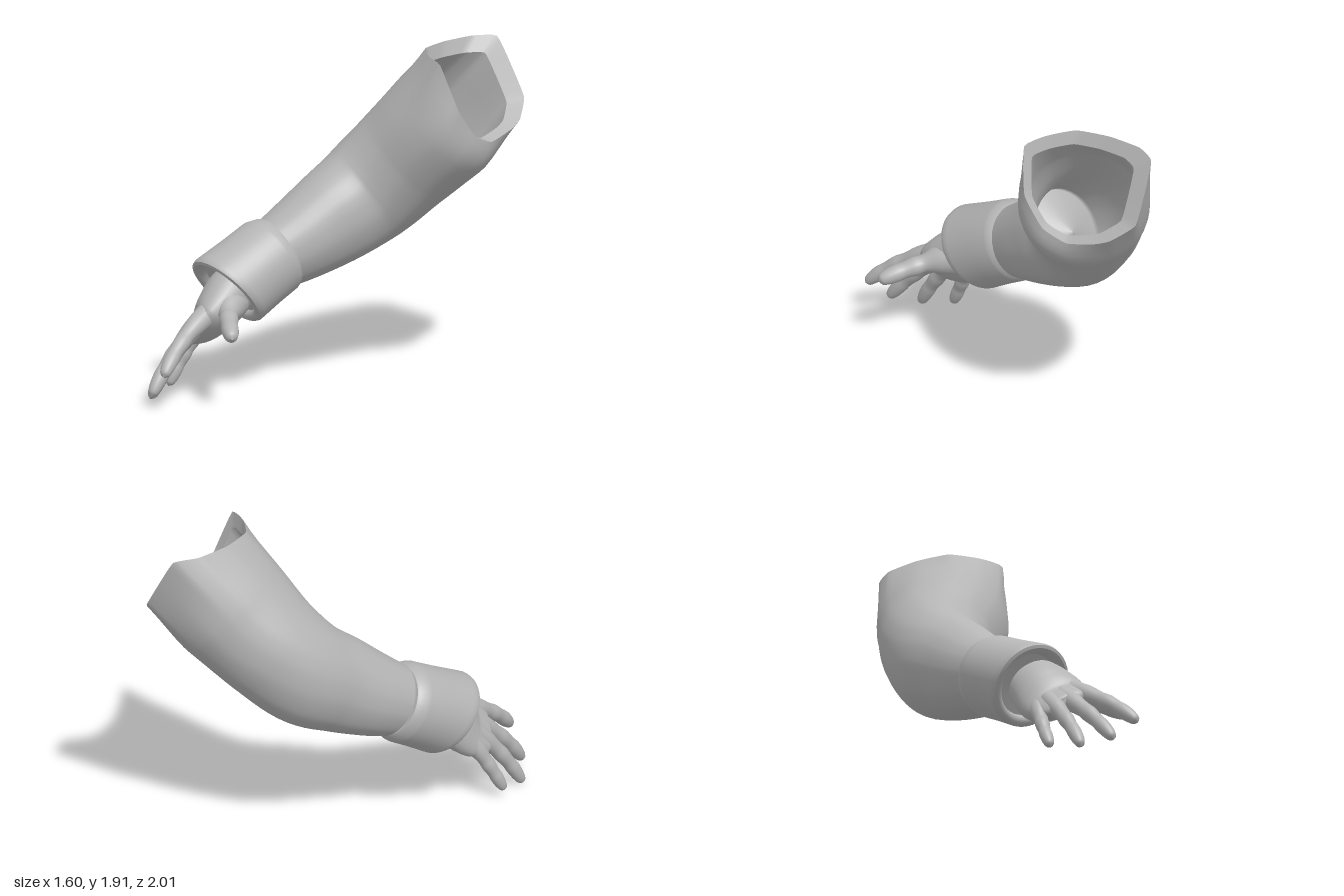
import * as THREE from 'three';
import { toCreasedNormals } from 'three/addons/utils/BufferGeometryUtils.js';

const V = (x, y, z) => new THREE.Vector3(x, y, z);
const UP = V(0, 1, 0);

// Smooth elliptical rings along a path; stations are [x, y, z, sideRadius, hintRadius]
function rings(stations, steps, angles, hint = UP, scale = 1) {
  const curve = new THREE.CatmullRomCurve3(stations.map(s => V(s[0], s[1], s[2])));
  const radii = new THREE.CatmullRomCurve3(
    stations.map((s, i) => V(s[3], s[4], i * 0.1)), false, 'catmullrom', 0.5);
  const rows = [];
  for (let i = 0; i <= steps; i++) {
    const k = i / steps, c = curve.getPoint(k), r = radii.getPoint(k), t = curve.getTangent(k);
    const u = t.clone().cross(hint).normalize(), v = u.clone().cross(t);
    rows.push(angles.map(a => c.clone()
      .addScaledVector(u, Math.cos(a) * r.x * scale)
      .addScaledVector(v, Math.sin(a) * r.y * scale)));
  }
  return rows;
}

// Skin closed rings into one smooth surface
function skin(rows) {
  const n = rows[0].length, index = [];
  for (let i = 0; i < rows.length - 1; i++) {
    for (let j = 0; j < n; j++) {
      const a = i * n + j, b = i * n + (j + 1) % n;
      index.push(a, a + n, b, b, a + n, b + n);
    }
  }
  const geo = new THREE.BufferGeometry().setFromPoints(rows.flat());
  geo.setIndex(index);
  geo.computeVertexNormals();
  return geo;
}

const circle = n => Array.from({ length: n }, (_, i) => (i / n) * Math.PI * 2);

export function createModel() {
  const group = new THREE.Group();
  const grey = new THREE.MeshStandardMaterial({ color: 0xb4b4b4 });
  grey.name = 'grey';
  const greyInside = grey.clone();
  greyInside.name = 'grey lining';
  greyInside.side = THREE.DoubleSide;
  const add = (name, geo, mat = grey, parent = group) => {
    const mesh = new THREE.Mesh(geo, mat);
    mesh.name = name;
    parent.add(mesh);
  };

  // Slanted sleeve opening
  const rimCurve = new THREE.CatmullRomCurve3([
    V(0.36, 1.91, -0.5), V(0.45, 1.9, -0.35), V(0.57, 1.88, -0.25), V(0.67, 1.62, -0.28),
    V(0.72, 1.45, -0.4), V(0.75, 1.39, -0.55), V(0.79, 1.43, -0.72), V(0.8, 1.47, -0.82),
    V(0.76, 1.57, -0.96), V(0.66, 1.75, -0.99), V(0.57, 1.9, -1.0), V(0.46, 1.91, -0.9),
    V(0.38, 1.91, -0.7),
  ], true, 'catmullrom', 0.2);
  const rim = Array.from({ length: 52 }, (_, i) => rimCurve.getPoint(i / 52));
  const rimCentre = V(0.58, 1.65, -0.62);
  const axis = V(-0.64, -0.76, 0.1).normalize();
  const side = axis.clone().cross(UP).normalize(), top = side.clone().cross(axis);
  const angles = rim.map(p => {
    const d = p.clone().sub(rimCentre);
    return Math.atan2(d.dot(top), d.dot(side));
  });

  // Sleeve, bent at the elbow and narrowing to the wrist
  const arm = [
    [0.41, 1.445, -0.56, 0.37, 0.35],
    [0.2, 1.235, -0.51, 0.32, 0.325],
    [0.03, 1.06, -0.415, 0.28, 0.31],
    [-0.1, 0.938, -0.255, 0.25, 0.285],
    [-0.24, 0.82, -0.085, 0.225, 0.242],
    [-0.36, 0.73, 0.07, 0.19, 0.2],
  ];
  const body = rings(arm, 30, angles);
  // curved run from the opening into the upper arm
  const flare = [0, 0.2, 0.4, 0.6, 0.8].map(k => rim.map((p, j) => {
    const a = body[0][j], lead = a.clone().multiplyScalar(3).addScaledVector(body[1][j], -2);
    return new THREE.QuadraticBezierCurve3(p, lead, a).getPoint(k);
  }));
  add('sleeve', skin([...flare, ...body]));

  // Lip folding into the opening, and the lining behind it
  const lip = rim.map(p => p.clone().lerp(V(0.45, 1.5, -0.45), 0.2));
  add('sleeveLip', skin([lip, rim]), greyInside);
  const inner = rings(arm, 30, angles, UP, 0.93).slice(0, 18);
  const middle = lip.map((p, j) => p.clone().lerp(inner[0][j], 0.5));
  const end = lip.map(() => V(0.0, 1.04, -0.38));
  add('sleeveLining', skin([lip, middle, ...inner, end]), greyInside);

  // Cuff: turned profile with a bevelled back edge and rolled front lip
  const cuffBase = V(-0.335, 0.765, 0.01);
  const cuffAxis = V(-0.17, -0.19, 0.32).normalize();
  const cuffUp = UP.clone().addScaledVector(cuffAxis, -cuffAxis.y).normalize();
  const profile = [[0.17, -0.018], [0.205, -0.018], [0.214, -0.01], [0.236, 0.045], [0.238, 0.06],
    [0.24, 0.2], [0.247, 0.36], [0.248, 0.385], [0.24, 0.405], [0.222, 0.412], [0.202, 0.405],
    [0.188, 0.39], [0.18, 0.365], [0.02, 0.35]];
  const cuff = new THREE.LatheGeometry(profile.map(p => new THREE.Vector2(...p)), 48);
  cuff.applyQuaternion(new THREE.Quaternion().setFromUnitVectors(UP, cuffAxis));
  const pos = cuff.attributes.position;
  for (let i = 0; i < pos.count; i++) {
    // slant the front end so the upper edge reaches further over the hand
    const p = V().fromBufferAttribute(pos, i);
    p.addScaledVector(cuffAxis, 0.22 * p.dot(cuffUp) * Math.max(0, p.dot(cuffAxis)) / 0.41);
    p.add(cuffBase);
    pos.setXYZ(i, p.x, p.y, p.z);
  }
  add('cuff', toCreasedNormals(cuff, 0.7));

  // Hand: flattened palm, then fingers with slight swelling at the joints
  const hand = new THREE.Group();
  hand.name = 'hand';
  group.add(hand);
  const back = V(-0.8, 0.6, 0.1).normalize();
  add('palm', skin(rings([
    [-0.38, 0.7, 0.22, 0.14, 0.12],
    [-0.46, 0.59, 0.345, 0.175, 0.14],
    [-0.505, 0.495, 0.43, 0.2, 0.13],
    [-0.55, 0.425, 0.495, 0.2, 0.1],
    [-0.595, 0.393, 0.555, 0.17, 0.065],
    [-0.625, 0.375, 0.6, 0.115, 0.04],
    [-0.635, 0.37, 0.61, 0.001, 0.001],
  ], 36, circle(32), back)), grey, hand);

  // root thickens the base of the digit
  const digit = (name, base, mid, tip, r, root) => {
    const path = new THREE.QuadraticBezierCurve3(V(...base), V(...mid), V(...tip));
    const shape = [[0, root], [0.2, (root + 1.05) / 2], [0.38, 0.95], [0.5, 1], [0.64, 0.86],
      [0.75, 0.9], [0.87, 0.8], [0.96, 0.55], [1, 0.02]];
    const stations = shape.map(([k, s]) => [...path.getPoint(k).toArray(), r * s, r * s]);
    add(name, skin(rings(stations, 32, circle(18), back)), grey, hand);
  };
  digit('indexFinger', [-0.5, 0.5, 0.57], [-0.575, 0.38, 0.83], [-0.575, 0.205, 1.0], 0.048, 1.4);
  digit('middleFinger', [-0.56, 0.45, 0.53], [-0.665, 0.28, 0.75], [-0.7, 0.06, 0.9], 0.048, 1.3);
  digit('ringFinger', [-0.61, 0.41, 0.47], [-0.715, 0.24, 0.63], [-0.785, 0.005, 0.735], 0.046, 1.3);
  digit('littleFinger', [-0.62, 0.38, 0.41], [-0.71, 0.23, 0.46], [-0.765, 0.045, 0.54], 0.042, 1.3);
  digit('thumb', [-0.43, 0.54, 0.44], [-0.345, 0.5, 0.65], [-0.225, 0.425, 0.83], 0.056, 2);
  return group;
}
